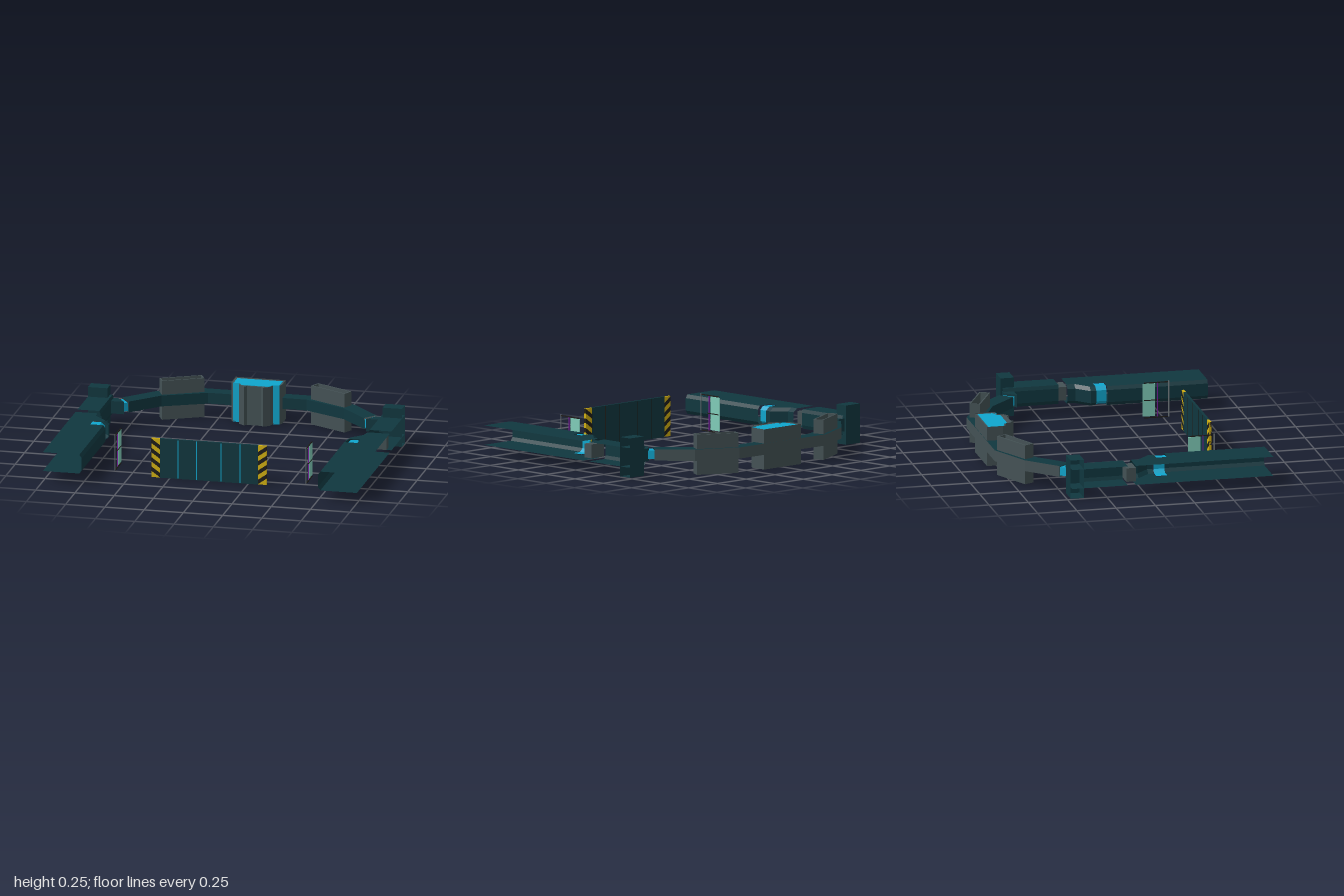
import * as THREE from 'three';

const mat = (name, color) => {
  const m = new THREE.MeshStandardMaterial({ color, side: THREE.DoubleSide });
  m.name = name;
  return m;
};

export function createModel() {
  const root = new THREE.Group();
  const teal = mat('dark teal', 0x10373f), grey = mat('slate grey', 0x445255);
  const cyan = mat('cyan', 0x0fa6cd), yellow = mat('yellow', 0xd2b011);
  const black = mat('black', 0x1e1c18), mint = mat('mint', 0x80cdb9);
  const purple = mat('purple', 0x7a1fa0), steel = mat('steel', 0x6c7478);

  const add = (name, geo, m, parent = root) => {
    const mesh = new THREE.Mesh(geo, m);
    mesh.name = name;
    parent.add(mesh);
    return mesh;
  };
  const box = (name, m, x0, x1, y0, y1, z0, z1, parent) => {
    const g = new THREE.BoxGeometry(Math.abs(x1 - x0), y1 - y0, z1 - z0);
    g.translate((x0 + x1) / 2, (y0 + y1) / 2, (z0 + z1) / 2);
    return add(name, g, m, parent);
  };
  // Flat-sided sheet through a row of cross-sections
  const loft = (name, m, sections, closed = false, parent = root) => {
    const p = [];
    for (let i = 0; i + 1 < sections.length; i++) {
      const a = sections[i], b = sections[i + 1], n = a.length;
      for (let j = 0; j < (closed ? n : n - 1); j++) {
        const k = (j + 1) % n;
        p.push(...a[j], ...b[j], ...b[k], ...a[j], ...b[k], ...a[k]);
      }
    }
    const g = new THREE.BufferGeometry();
    g.setAttribute('position', new THREE.Float32BufferAttribute(p, 3));
    g.computeVertexNormals();
    return add(name, g, m, parent);
  };
  // Upright prism from a plan outline of [x, z] points
  const prism = (name, m, pts, y0, y1, parent) => {
    const s = new THREE.Shape(pts.map(([x, z]) => new THREE.Vector2(x, -z)));
    const g = new THREE.ExtrudeGeometry(s, { depth: y1 - y0, bevelEnabled: false });
    g.rotateX(-Math.PI / 2);
    g.translate(0, y0, 0);
    return add(name, g, m, parent);
  };

  // Curved back beam: outer and inner plan edges, one half then mirrored
  const half = [
    [[0.81, -0.505], [0.748, -0.43]],
    [[0.636, -0.685], [0.58, -0.6]],
    [[0.375, -0.815], [0.313, -0.725]],
  ];
  const mirrorPair = ([o, i]) => [[-o[0], o[1]], [-i[0], i[1]]];
  const beam = [...half, ...[...half].reverse().map(mirrorPair)];
  const B0 = 0.095, B1 = 0.165;
  loft('backBeam', teal, beam.map(([o, i]) => [
    [o[0], B1, o[1]], [i[0], B1, i[1]], [i[0], B0, i[1]], [o[0], B0, o[1]],
  ]));
  loft('backBeamOuterFace', grey, beam.map(([o]) => [[o[0], B1, o[1]], [o[0], B0, o[1]]]));

  // Open channel section: open on the outside, chamfered on the inside
  const channel = (s, z, inner, outer = 1, y0 = 0.068, y1 = 0.19, c = 0.015) => [
    [outer, y1], [inner + c, y1], [inner, y1 - 0.022],
    [inner, y0 + 0.022], [inner + c, y0], [outer, y0],
  ].map(([x, y]) => [s * x, y, z]);

  for (const s of [1, -1]) {
    const side = new THREE.Group();
    side.name = s > 0 ? 'leftSide' : 'rightSide';
    root.add(side);
    const plan = (pts) => pts.map(([x, z]) => [s * x, z]);

    // Front rail and shoulder
    loft('rail', teal, [0.17, 0.81].map((z) => channel(s, z, 0.752)), false, side);
    loft('shoulder', teal, [[-0.065, 0.83], [-0.015, 0.83], [0.065, 0.752], [0.1, 0.752]]
      .map(([z, x]) => channel(s, z, x, 1, 0.068, 0.19, 0.03)), false, side);
    for (const y of [0.19, 0.068]) {
      loft('railBridge', teal, [0.1, 0.17].map((z) => [[s * 0.85, y, z], [s, y, z]]), false, side);
    }
    loft('railLight', cyan, [0.1, 0.17].map((z) =>
      channel(s, z, 0.772, 0.853, 0.072, 0.186, 0.022)), false, side);

    // Neck, arm and corner post
    box('neck', grey, s * 0.87, s * 0.98, 0.085, 0.172, -0.12, -0.06, side);
    loft('arm', teal, [-0.47, -0.115].map((z) => channel(s, z, 0.853, 1, 0.068, 0.19, 0.008)), false, side);
    const ring = (x) => [[s * x, 0.006, -0.48], [s * x, 0.252, -0.48],
      [s * x, 0.252, -0.395], [s * x, 0.006, -0.395]];
    loft('post', teal, [ring(0.878), ring(1)], true, side);
    box('postInnerWall', teal, s * 0.876, s * 0.88, 0.006, 0.252, -0.48, -0.395, side);
    prism('postWedge', teal, plan([[0.878, -0.47], [0.825, -0.47], [0.77, -0.4], [0.878, -0.4]]),
      0.09, 0.17, side);
    prism('jointLight', cyan, plan([[0.832, -0.47], [0.803, -0.5], [0.755, -0.432], [0.785, -0.41]]),
      0.103, 0.157, side);

    // Open rectangular sleeve standing through the beam
    const sleeve = new THREE.Group();
    sleeve.name = 'sleeve';
    sleeve.position.set(s * 0.476, 0, -0.7075);
    sleeve.rotation.y = -0.467 * s;
    side.add(sleeve);
    for (const e of [1, -1]) {
      box('sleeveLongWall', grey, -0.135, 0.135, 0.003, 0.254, e * 0.03 - 0.004, e * 0.03 + 0.004, sleeve);
      box('sleeveEndWall', grey, e * 0.131 - 0.004, e * 0.131 + 0.004, 0.003, 0.254, -0.03, 0.03, sleeve);
    }
    for (const y of [0.166, 0.088]) box('sleeveLight', cyan, -0.115, 0.115, y, y + 0.006, -0.021, 0.021, sleeve);

    // Thin screen with rods beside the barrier
    const x = s * 0.608;
    box('screenPlate', mint, x - 0.002, x + 0.002, 0.025, 0.235, 0.36, 0.44, side);
    box('screenStrip', purple, x - 0.003, x + 0.003, 0.02, 0.24, 0.452, 0.459, side);
    box('screenEdge', steel, x - 0.002, x + 0.002, 0.015, 0.248, 0.524, 0.53, side);
    for (const y of [0.016, 0.128, 0.24]) {
      box('screenRod', black, x - 0.003, x + 0.003, y - 0.003, y + 0.003, 0.37, y === 0.128 ? 0.47 : 0.522, side);
    }

    // Striped barrier end
    const a = s * 0.313, b = s * 0.367;
    box('barrierEnd', yellow, a, b, 0.002, 0.253, 0.552, 0.567, side);
    for (let i = 0; i < 4; i++) {
      const y = 0.005 + i * 0.06;
      const st = new THREE.Shape([[a, y], [b, y + 0.038], [b, y + 0.066], [a, y + 0.028]]
        .map(([u, v]) => new THREE.Vector2(u, v)));
      const g = new THREE.ExtrudeGeometry(st, { depth: 0.018, bevelEnabled: false });
      g.translate(0, 0, 0.5505);
      add('barrierStripe', g, black, side);
    }
    // Glowing seams on the barrier front
    for (const u of [0.078, 0.198]) {
      box('barrierSeam', cyan, s * u - 0.003, s * u + 0.003, 0.004, 0.251, 0.566, 0.5685, side);
      box('barrierBackSeam', black, s * u - 0.002, s * u + 0.002, 0.004, 0.251, 0.5505, 0.553, side);
    }

    // Central housing shell, half of its walls
    const wall = (name, m, pts) => loft(name, m, pts.map(([u, z]) =>
      [[s * u, 0.002, z], [s * u, 0.254, z]]), false, side);
    wall('housingSideWall', grey, [[0, -0.813], [0.16, -0.813], [0.16, -0.71], [0.148, -0.69]]);
    wall('housingLight', cyan, [[0.148, -0.69], [0.108, -0.684]]);
    wall('housingFrontWall', grey, [[0.108, -0.684], [0.098, -0.65], [0.06, -0.622],
      [0.045, -0.637], [0, -0.637]]);
  }
  box('barrier', teal, -0.313, 0.313, 0.001, 0.254, 0.552, 0.567);

  // Housing rims and glowing core
  const outline = [[0.16, -0.813], [0.16, -0.71], [0.148, -0.69], [0.108, -0.684],
    [0.098, -0.65], [0.06, -0.622], [0.045, -0.637]];
  const core = [[0.145, -0.8], [0.145, -0.71], [0.138, -0.697], [0.1, -0.692], [0.088, -0.667]];
  const both = (pts) => [...pts, ...[...pts].reverse().map(([x, z]) => [-x, z])];
  for (const y of [0.006, 0.242]) {
    prism('housingRim', grey, both(outline), y, y + 0.006);
    const top = y > 0.1;
    prism('housingCore', cyan, both(core), top ? y + 0.004 : y - 0.002, top ? y + 0.008 : y + 0.003);
  }
  return root;
}
